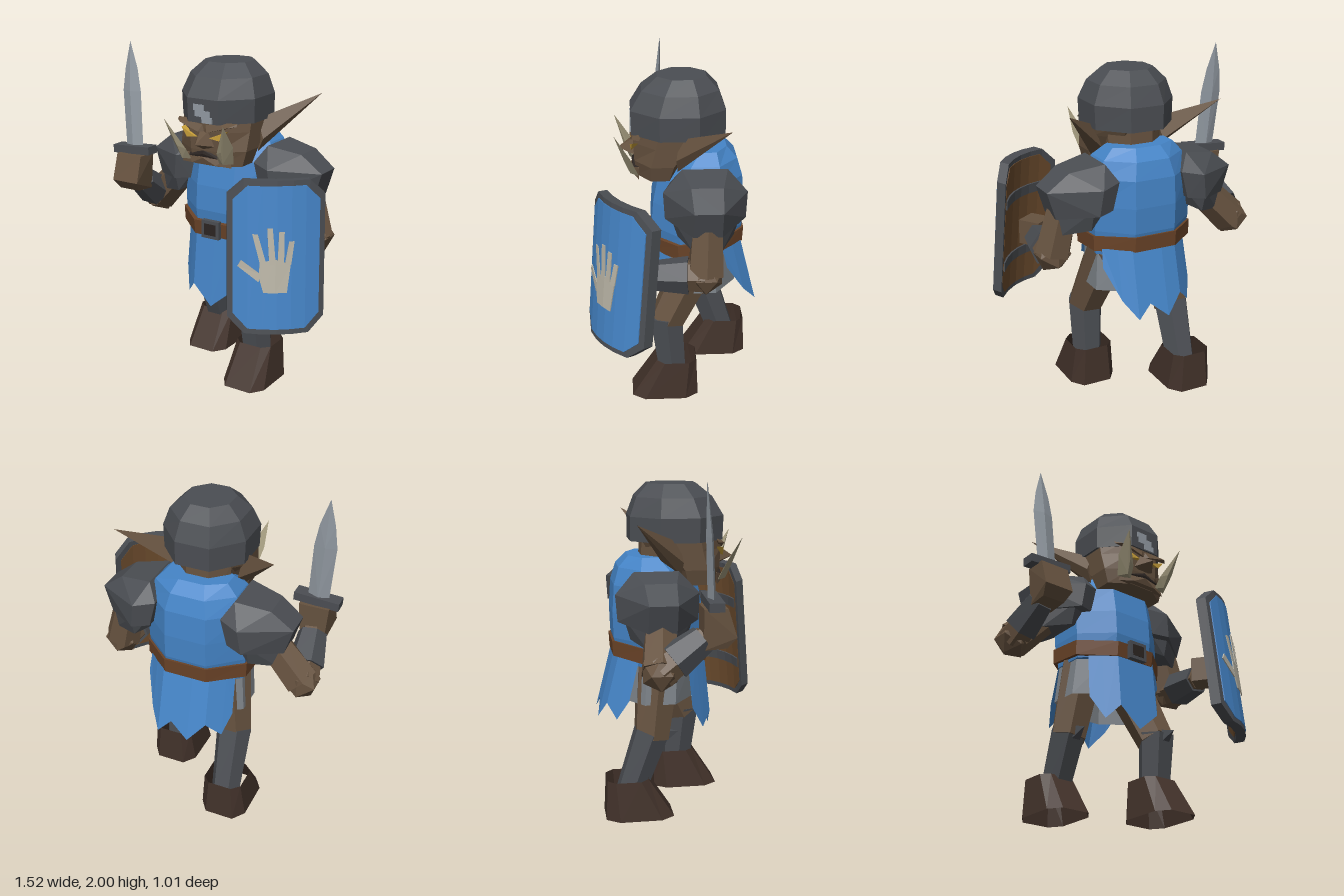
import * as THREE from 'three';
import { ConvexGeometry } from 'three/addons/geometries/ConvexGeometry.js';

const V = (x, y, z) => new THREE.Vector3(x, y, z);
const mat = (color, side = THREE.FrontSide) =>
  new THREE.MeshStandardMaterial({ color, flatShading: true, side });
const C = {
  skin: mat(0x66523f), iron: mat(0x4b4e53), blue: mat(0x4585c8), cloth: mat(0x4585c8, THREE.DoubleSide),
  boot: mat(0x42322a, THREE.DoubleSide), belt: mat(0x6b4428), steel: mat(0x929aa2), mail: mat(0x7c8288, THREE.DoubleSide),
  tusk: mat(0xa39a7e), eye: mat(0xc9a03a), bone: mat(0xbab5a6), dark: mat(0x2c2522), wood: mat(0x6e4d2e),
};

export function createModel() {
  const root = new THREE.Group();
  const add = (name, geo, m, parent = root) => {
    const mesh = new THREE.Mesh(geo, m);
    mesh.name = name;
    parent.add(mesh);
    return mesh;
  };
  const box = (name, m, size, pos) => {
    const b = add(name, new THREE.BoxGeometry(...size), m);
    b.position.set(...pos);
    return b;
  };
  const hull = (name, m, pts, parent) =>
    add(name, new ConvexGeometry(pts.map((p) => V(...p))), m, parent);
  // Tapered prism from a to b
  const limb = (name, m, a, b, r1, r2) => {
    const A = V(...a), B = V(...b), d = B.clone().sub(A);
    const geo = new THREE.CylinderGeometry(r2, r1, d.length(), 6).rotateY(Math.PI / 6);
    const mesh = add(name, geo, m);
    mesh.position.copy(A).add(B).multiplyScalar(0.5);
    mesh.quaternion.setFromUnitVectors(V(0, 1, 0), d.normalize());
  };
  // Stacked octagons, bottom to top: [y, half width, front z, back z, tilt]; a lower power is squarer
  const loft = (rings, caps = true, cx = -0.015, power = 1) => {
    const pos = [], idx = [], n = 8, k = 1 / Math.cos(Math.PI / n);
    const square = (v) => Math.sign(v) * Math.abs(k * v) ** power;
    for (const [y, rx, zf, zb, tilt = 0] of rings)
      for (let i = 0; i < n; i++) {
        const t = ((i + 0.5) / n) * Math.PI * 2;
        pos.push(cx + rx * square(Math.cos(t)), y - tilt * Math.sin(t), (zf + zb) / 2 + ((zf - zb) / 2) * square(Math.sin(t)));
      }
    const last = (rings.length - 1) * n;
    for (let j = 0; j < last; j += n)
      for (let i = 0; i < n; i++) {
        const a = j + i, b = j + ((i + 1) % n);
        idx.push(a, a + n, b, b, a + n, b + n);
      }
    if (caps)
      for (let i = 1; i < n - 1; i++) idx.push(0, i, i + 1, last, last + i + 1, last + i);
    return surface(pos, idx);
  };
  const surface = (pos, idx) => {
    const geo = new THREE.BufferGeometry();
    geo.setAttribute('position', new THREE.Float32BufferAttribute(pos, 3));
    geo.setIndex(idx);
    geo.computeVertexNormals();
    return geo;
  };

  // Hunched torso, belt and mail skirt
  add('tunic', loft([[0.9, 0.29, 0.11, -0.37], [1.05, 0.305, 0.13, -0.405], [1.2, 0.305, 0.12, -0.41],
    [1.36, 0.3, 0.09, -0.4], [1.46, 0.25, 0.02, -0.37], [1.525, 0.19, -0.08, -0.31]]), C.blue);
  add('belt', loft([[0.92, 0.312, 0.14, -0.41, 0.025], [1.01, 0.315, 0.15, -0.415, 0.025]]), C.belt);
  box('buckle', C.iron, [0.12, 0.11, 0.03], [-0.015, 0.95, 0.16]);
  box('buckleInset', C.dark, [0.08, 0.07, 0.01], [-0.015, 0.95, 0.172]);
  add('mailSkirt', loft([[0.68, 0.3, 0.06, -0.37], [0.93, 0.28, 0.07, -0.35]], false), C.mail);

  // Ragged cloth panels flaring downward, columns: [x, top z, bottom y]
  const panel = (name, flare, cols) => {
    const pos = [], idx = [];
    cols.forEach(([x, z, y], i) => {
      pos.push(x * 0.97, 0.95, z, x, y, z + flare * (0.95 - y));
      if (i) idx.push(2 * i - 2, 2 * i - 1, 2 * i, 2 * i, 2 * i - 1, 2 * i + 1);
    });
    add(name, surface(pos, idx), C.cloth);
  };
  panel('frontCloth', 0.1, [[-0.27, 0.01, 0.64], [-0.21, 0.07, 0.5], [-0.14, 0.13, 0.58],
    [-0.01, 0.13, 0.46], [0.13, 0.13, 0.58], [0.15, 0.11, 0.74], [0.25, 0.02, 0.82]]);
  panel('backCloth', -0.25, [[-0.28, -0.27, 0.7], [-0.24, -0.31, 0.58], [-0.16, -0.38, 0.66],
    [-0.06, -0.4, 0.55], [0.05, -0.4, 0.64], [0.13, -0.4, 0.56], [0.2, -0.345, 0.66], [0.27, -0.28, 0.84]]);

  // Head: skull, face, ears and tusks
  add('head', loft([[1.36, 0.2, 0.21, -0.05], [1.45, 0.225, 0.225, -0.09], [1.56, 0.23, 0.23, -0.2], [1.66, 0.235, 0.23, -0.26]]), C.skin);
  add('neck', loft([[1.3, 0.15, 0.06, -0.25], [1.6, 0.17, 0.08, -0.23]]), C.skin);
  const face = new THREE.Group();
  face.name = 'face';
  face.position.x = -0.015;
  root.add(face);
  hull('nose', C.skin, [[-0.03, 1.57, 0.22], [0.03, 1.57, 0.22], [-0.08, 1.475, 0.21], [0.08, 1.475, 0.21], [0, 1.5, 0.32], [0, 1.46, 0.24]], face);
  hull('jaw', C.skin, [[-0.17, 1.36, 0.2], [0.17, 1.36, 0.2], [-0.15, 1.42, 0.2], [0.15, 1.42, 0.2], [-0.08, 1.37, 0.235], [0.08, 1.37, 0.235], [0, 1.41, 0.245]], face);
  hull('mouth', C.dark, [[-0.12, 1.42, 0.2], [0.12, 1.42, 0.2], [0, 1.45, 0.236], [0, 1.43, 0.24], [-0.1, 1.41, 0.234], [0.1, 1.41, 0.234]], face);
  for (const s of [-1, 1]) {
    hull('eye', C.eye, [[s * 0.045, 1.525, 0.22], [s * 0.15, 1.575, 0.2], [s * 0.045, 1.53, 0.25], [s * 0.11, 1.52, 0.243], [s * 0.15, 1.572, 0.238]], face);
    hull('brow', C.skin, [[0, 1.56, 0.23], [0, 1.62, 0.22], [s * 0.2, 1.62, 0.19], [s * 0.2, 1.605, 0.2], [s * 0.03, 1.56, 0.25], [s * 0.16, 1.6, 0.24]], face);
    hull('ear', C.skin, [[s * 0.475, 1.745, -0.3], [s * 0.2, 1.61, -0.03], [s * 0.21, 1.42, -0.02], [s * 0.2, 1.5, -0.13], [s * 0.25, 1.5, -0.01]], face);
    hull('tusk', C.tusk, [[s * 0.2, 1.635, 0.34], [s * 0.095, 1.385, 0.22], [s * 0.18, 1.385, 0.2], [s * 0.21, 1.5, 0.25],
      [s * 0.105, 1.45, 0.26], [s * 0.14, 1.39, 0.25], [s * 0.15, 1.47, 0.285]], face);
  }

  // Helmet with a scratched patch of bare metal
  add('helmet', loft([[1.61, 0.245, 0.24, -0.3], [1.75, 0.25, 0.245, -0.3], [1.86, 0.21, 0.18, -0.26], [1.935, 0.135, 0.09, -0.19]]), C.iron);
  for (const [w, x, y] of [[0.07, -0.04, 1.7], [0.1, -0.015, 1.665], [0.07, 0.015, 1.63]])
    box('helmetScratch', C.steel, [w, 0.035, 0.01], [x, y, 0.243]);

  // Legs: left one forward, right one trailing; boots are open shells
  const leg = (bootX, bootZ, hip, knee, ankle) => {
    limb('thigh', C.skin, knee, hip, 0.11, 0.14);
    limb('shinGuard', C.iron, ankle, [knee[0], knee[1] + 0.04, knee[2]], 0.09, 0.11);
    const [x, y, z] = knee;
    hull('kneeSpike', C.iron, [[x - 0.035, y + 0.05, z + 0.07], [x + 0.035, y + 0.05, z + 0.07], [x - 0.03, y - 0.03, z + 0.07], [x + 0.03, y - 0.03, z + 0.07], [x, y + 0.03, z + 0.16]]);
    add('boot', loft([[0, 0.143, bootZ + 0.4, bootZ], [0.235, 0.118, bootZ + 0.25, bootZ + 0.01]], false, bootX, 0.55), C.boot);
  };
  leg(0.232, -0.14, [0.16, 0.92, -0.17], [0.22, 0.47, 0.05], [0.23, 0.1, 0.01]);
  leg(-0.26, -0.48, [-0.18, 0.92, -0.15], [-0.24, 0.46, -0.2], [-0.245, 0.1, -0.34]);

  // Layered shoulder plates, narrowing outward
  for (const s of [-1, 1]) {
    const plates = new THREE.Group();
    plates.name = 'pauldron';
    plates.position.set(-0.01, 0, -0.17);
    root.add(plates);
    // Each corner is mirrored front to back: [x, y, half depth]
    const tier = (name, pts) =>
      hull(name, C.iron, pts.flatMap(([x, y, z]) => [[s * x, y, z], [s * x, y, -z]]), plates);
    tier('shoulderDome', [[0.26, 1.455, 0.13], [0.46, 1.42, 0.09], [0.2, 1.36, 0.19], [0.32, 1.34, 0.24], [0.59, 1.32, 0.08],
      [0.24, 1.2, 0.19], [0.34, 1.19, 0.23], [0.54, 1.16, 0.08]]);
    tier('upperArmPlate', [[0.26, 1.22, 0.15], [0.36, 1.22, 0.2], [0.54, 1.22, 0.08], [0.28, 1.13, 0.1], [0.36, 1.09, 0.16], [0.51, 1.06, 0.08]]);
  }

  // Arms: upper arm, elbow, forearm and bracer
  const arm = (shoulder, elbow, wrist) => {
    limb('upperArm', C.skin, elbow, shoulder, 0.11, 0.095);
    add('elbow', new THREE.IcosahedronGeometry(0.11, 0), C.skin).position.set(...elbow);
    limb('forearm', C.skin, elbow, wrist, 0.1, 0.07);
    const e = V(...elbow), w = V(...wrist);
    limb('bracer', C.iron, e.clone().lerp(w, 0.3).toArray(), e.clone().lerp(w, 0.95).toArray(), 0.11, 0.085);
  };
  arm([0.46, 1.18, -0.17], [0.52, 0.925, -0.16], [0.48, 0.91, 0.16]);
  arm([-0.44, 1.18, -0.17], [-0.65, 0.97, -0.2], [-0.62, 1.15, 0.05]);
  box('leftHand', C.skin, [0.14, 0.15, 0.14], [0.46, 0.92, 0.24]).rotation.y = 0.6;
  hull('rightHand', C.skin, [[-0.71, 1.32, 0.03], [-0.71, 1.32, 0.16], [-0.53, 1.32, 0.03], [-0.53, 1.32, 0.16], [-0.71, 1.16, 0.21],
    [-0.525, 1.16, 0.21], [-0.69, 1.09, 0.03], [-0.55, 1.09, 0.03], [-0.69, 1.1, 0.16], [-0.55, 1.1, 0.16]]);

  // Short sword held upright
  box('swordGuard', C.iron, [0.27, 0.05, 0.085], [-0.625, 1.345, 0.09]).rotation.z = 0.06;
  hull('swordBlade', C.steel, [[-0.69, 1.36, 0.085], [-0.565, 1.36, 0.085], [-0.63, 1.36, 0.105], [-0.63, 1.36, 0.06],
    [-0.72, 1.7, 0.065], [-0.587, 1.7, 0.065], [-0.655, 1.7, 0.085], [-0.655, 1.7, 0.045],
    [-0.705, 1.84, 0.055], [-0.615, 1.84, 0.055], [-0.67, 2.0, 0.047]]);

  // Curved shield with clipped corners
  const shield = new THREE.Group();
  shield.name = 'shield';
  shield.position.set(0.505, 0.945, 0.3);
  shield.rotation.set(-0.095, 0.61, 0, 'YXZ');
  root.add(shield);
  const bend = (geo, hw, cut) => {
    const p = geo.attributes.position;
    for (let i = 0; i < p.count; i++) {
      const u = p.getX(i), over = Math.max(0, Math.abs(u) / hw - 2 / 3) * 3;
      p.setY(i, p.getY(i) * (1 - cut * over));
      p.setZ(i, p.getZ(i) + 0.078 * (1 - (u / 0.27) ** 2));
    }
    return geo;
  };
  const plate = (name, m, w, h, d, y, z, cut) =>
    add(name, bend(new THREE.BoxGeometry(w, h, d, 6, 1, 1).translate(0, y, z), w / 2, cut), m, shield);
  plate('shieldRim', C.iron, 0.54, 0.87, 0.06, 0, 0, 0.2);
  plate('shieldFace', C.blue, 0.48, 0.81, 0.02, 0, 0.024, 0.2);
  plate('shieldBack', C.wood, 0.48, 0.81, 0.02, 0, -0.024, 0.2);
  for (const y of [-0.2, 0.2]) plate('shieldBrace', C.iron, 0.46, 0.06, 0.02, y, -0.034, 0);

  // Painted open hand: palm, four fingers and thumb
  const hand = new THREE.Group();
  hand.name = 'paintedHand';
  shield.add(hand);
  const patch = (name, pts) => {
    const shape = new THREE.Shape(pts.map(([x, y]) => new THREE.Vector2(x - 0.045, y)));
    const geo = new THREE.ExtrudeGeometry(shape, { depth: 0.006, bevelEnabled: false });
    add(name, bend(geo.translate(0, 0, 0.038), 1, 0), C.bone, hand);
  };
  patch('palm', [[-0.03, -0.19], [0.035, -0.19], [0.035, 0.0], [-0.05, -0.02], [-0.055, -0.1]]);
  patch('palm', [[0.035, -0.19], [0.1, -0.19], [0.12, -0.03], [0.035, 0.0]]);
  patch('thumb', [[-0.05, -0.08], [-0.15, -0.01], [-0.17, -0.045], [-0.055, -0.13]]);
  for (const [base, tip, top] of [[-0.03, -0.075, 0.14], [0.02, 0.005, 0.175], [0.065, 0.07, 0.155], [0.105, 0.125, 0.1]])
    patch('finger', [[base - 0.018, -0.03], [base + 0.018, -0.03], [tip + 0.015, top], [tip - 0.015, top]]);

  return root;
}
